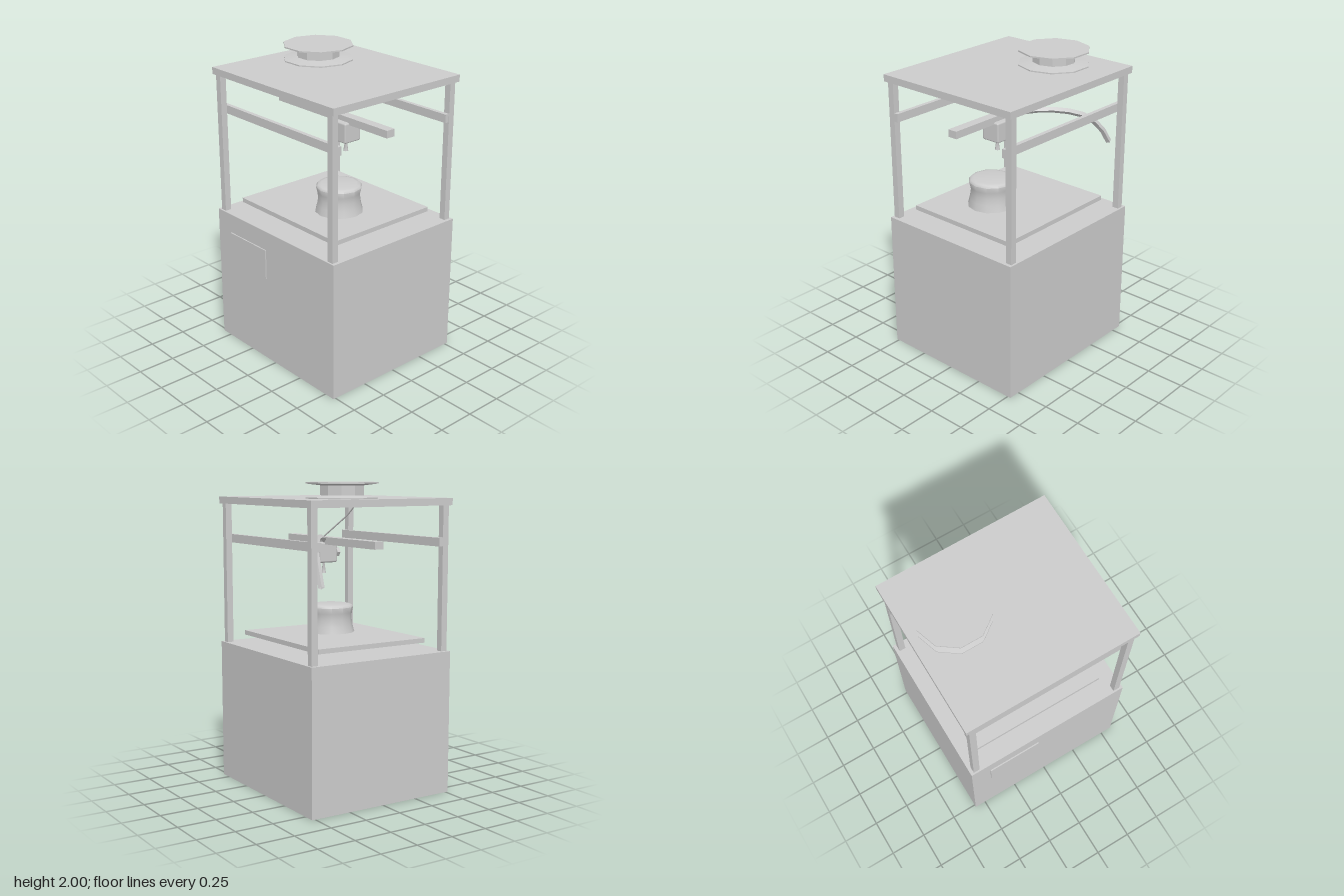
import * as THREE from 'three';
import { toCreasedNormals } from 'three/addons/utils/BufferGeometryUtils.js';
import { RoundedBoxGeometry } from 'three/addons/geometries/RoundedBoxGeometry.js';

export function createModel() {
  const model = new THREE.Group();
  model.name = 'desktopPrinter';
  const grey = new THREE.MeshStandardMaterial({ color: 0xcccccc, side: THREE.DoubleSide });
  grey.name = 'lightGrey';

  function add(name, geometry, x = 0, y = 0, z = 0) {
    const mesh = new THREE.Mesh(geometry, grey);
    mesh.name = name;
    mesh.position.set(x, y, z);
    model.add(mesh);
    return mesh;
  }
  // Box given by its extents on each axis
  function box(name, x0, x1, y0, y1, z0, z1) {
    return add(name, new THREE.BoxGeometry(x1 - x0, y1 - y0, z1 - z0),
      (x0 + x1) / 2, (y0 + y1) / 2, (z0 + z1) / 2);
  }
  const lathe = (points, sides, crease) => toCreasedNormals(new THREE.LatheGeometry(
    points.map(([r, y]) => new THREE.Vector2(r, y)), sides, Math.PI / 2), crease);
  const curve = (points) => new THREE.CatmullRomCurve3(points.map((p) => new THREE.Vector3(...p)));

  // Base cabinet, open underneath
  const base = box('baseCabinet', -0.577, 0.577, 0, 0.93, -0.523, 0.517);
  const faces = Array.from(base.geometry.index.array);
  faces.splice(18, 6);
  base.geometry.setIndex(faces);
  base.geometry.clearGroups();
  box('displayPanel', -0.44, -0.073, 0.595, 0.8, 0.515, 0.525);

  // Frame: four posts, a roof and two rails inside the posts
  for (const sx of [-1, 1]) {
    for (const sz of [-1, 1]) {
      add('cornerPost', new THREE.BoxGeometry(0.043, 0.925, 0.043), sx * 0.533, 1.3925, sz * 0.486 - 0.002);
    }
  }
  box('roofPlate', -0.577, 0.577, 1.855, 1.9, -0.523, 0.517);
  box('frontRail', -0.553, 0.553, 1.598, 1.653, 0.435, 0.463);
  box('backRail', -0.553, 0.553, 1.598, 1.653, -0.465, -0.437);

  // Print bed and the turned piece standing on it
  box('printBed', -0.463, 0.46, 0.98, 1.01, -0.405, 0.4);
  add('printedVase', lathe([[0.157, 1.01], [0.145, 1.055], [0.138, 1.1], [0.14, 1.14], [0.15, 1.178],
    [0.138, 1.192], [0.115, 1.197], [0, 1.197]], 12, 1), 0.11, 0, 0.055);

  // Gantry bar, print head, fan and nozzle
  box('gantryBar', -0.515, 0.512, 1.595, 1.643, -0.032, 0.032);
  add('printHead', new RoundedBoxGeometry(0.134, 0.134, 0.134, 1, 0.012), 0.112, 1.542, 0);
  const fan = add('headFan', new THREE.CylinderGeometry(0.033, 0.033, 0.022, 6).toNonIndexed(), 0.067, 1.543, 0.07);
  fan.geometry.rotateY(Math.PI / 2);
  fan.geometry.rotateX(Math.PI / 2);
  fan.geometry.computeVertexNormals();
  add('nozzle', lathe([[0, 1.48], [0.013, 1.48], [0.007, 1.465], [0.016, 1.403], [0, 1.403]].reverse(), 8, 0.7), 0.112, 0, 0);

  // Square cable arm running from the head to the back left corner
  const arm = new THREE.CurvePath();
  const armPoints = [[0.06, 1.625, -0.03], [-0.04, 1.65, -0.12], [-0.2, 1.642, -0.25],
    [-0.34, 1.59, -0.345], [-0.44, 1.5, -0.39], [-0.51, 1.385, -0.412]];
  add('cableArm', toCreasedNormals(new THREE.TubeGeometry(curve(armPoints), 8, 0.019, 4), 0.6));

  // Filament fed through the roof
  add('filament', new THREE.TubeGeometry(curve([[-0.2, 1.857, 0.04], [-0.1, 1.79, 0.046],
    [0, 1.72, 0.025], [0.107, 1.645, 0]]), 10, 0.005, 6));

  // Ten sided spool lying on the roof
  add('filamentSpool', lathe([[0, 1.9], [0.231, 1.9], [0.231, 1.908], [0.14, 1.92], [0.14, 1.98],
    [0.231, 1.991], [0.231, 2], [0, 2]], 10, 0.5), -0.29, 0, -0.12);
  return model;
}
